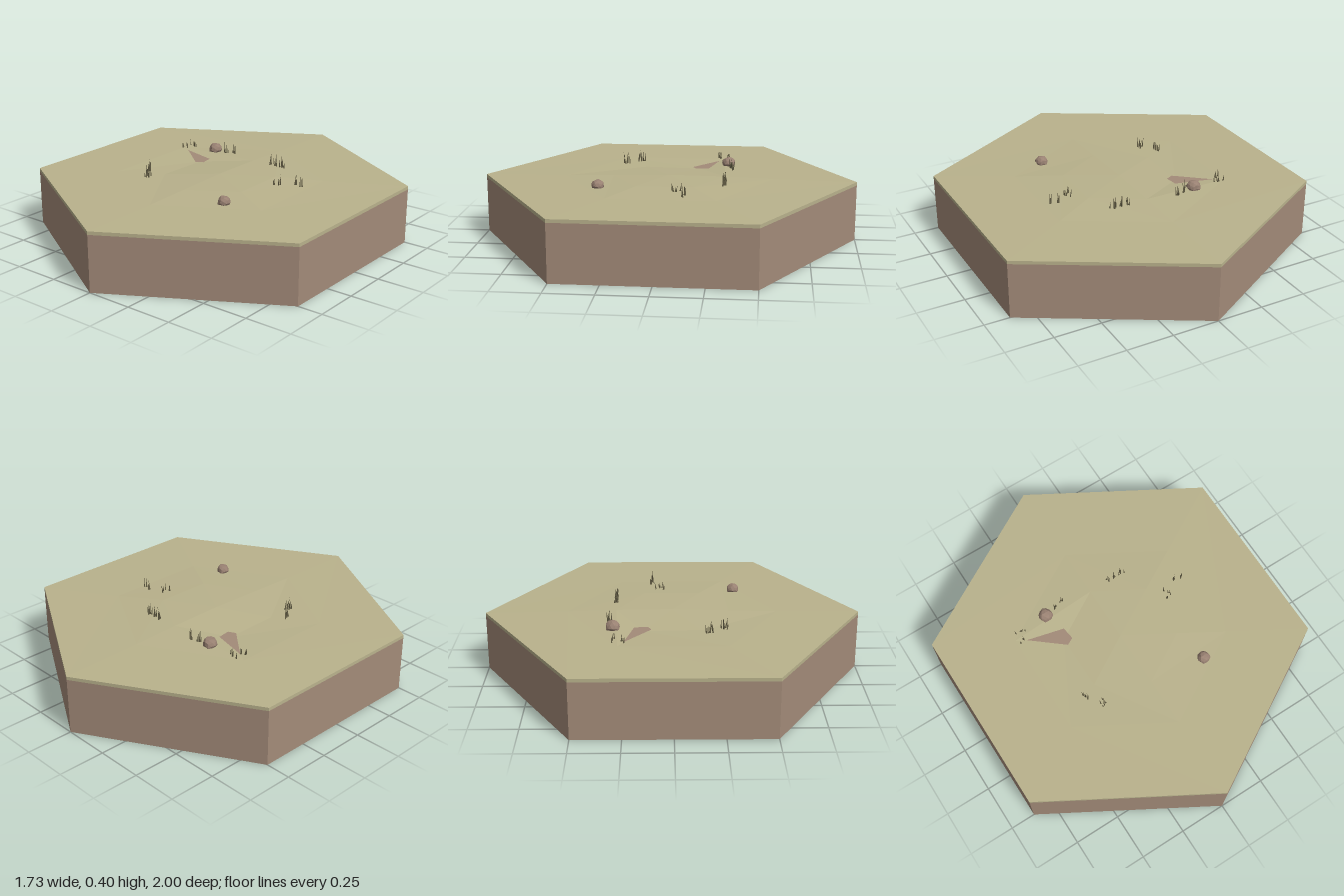
import * as THREE from 'three';

const mat = (name, color, extra = {}) =>
  Object.assign(new THREE.MeshStandardMaterial({ color, flatShading: true, ...extra }), { name });

// small seeded generator
function seeded(seed) {
  let s = seed;
  return () => ((s = (s * 16807) % 2147483647) / 2147483647);
}

// gently uneven hexagonal top: centre, two inner rings and the rim
function groundGeometry() {
  const heights = [
    [0.328, 0.333, 0.335, 0.333, 0.313, 0.318],
    [0.321, 0.322, 0.324, 0.325, 0.321, 0.32],
    Array(6).fill(0.318),
    Array(6).fill(0.3),
  ];
  const radii = [0.3, 0.56, 1, 1];
  const pos = [0, 0.336, 0];
  const index = [];
  radii.forEach((r, ring) => {
    for (let i = 0; i < 6; i++) {
      const a = (i * Math.PI) / 3;
      pos.push(r * Math.sin(a), heights[ring][i], r * Math.cos(a));
      const j = (i + 1) % 6, o = 1 + ring * 6, n = o - 6;
      if (ring === 0) index.push(0, o + i, o + j);
      else index.push(n + i, o + i, o + j, n + i, o + j, n + j);
    }
  });
  const g = new THREE.BufferGeometry();
  g.setAttribute('position', new THREE.Float32BufferAttribute(pos, 3));
  g.setIndex(index);
  g.computeVertexNormals();
  return g;
}

// faceted stone with a flat underside
function rockGeometry(radius, height, seed) {
  const g = new THREE.IcosahedronGeometry(1, 1);
  const p = g.attributes.position;
  for (let i = 0; i < p.count; i++) {
    const x = p.getX(i), y = p.getY(i), z = p.getZ(i);
    const k = 1 + 0.1 * Math.sin(5 * x + seed) * Math.cos(4 * z + 3 * y + seed);
    p.setXYZ(i, x * k * radius, Math.max(0, (y * k + 0.35) / 1.35) * height, z * k * radius);
  }
  g.computeVertexNormals();
  return g;
}

export function createModel() {
  const model = new THREE.Group();
  model.name = 'hexTile';
  const soil = mat('soil', 0xa38b79);
  const grass = mat('dryGrass', 0xb9b28c);
  const stone = mat('stone', 0x9a8273);
  const blade = mat('bladeOlive', 0x635d45);

  const add = (name, geo, material, parent = model) => {
    const m = new THREE.Mesh(geo, material);
    m.name = name;
    parent.add(m);
    return m;
  };

  // earth block and ground cover
  add('earthBlock', new THREE.CylinderGeometry(1, 1, 0.3, 6), soil).position.y = 0.15;
  add('groundCover', groundGeometry(), grass);

  // bare soil showing through the hollow
  const patch = new THREE.Shape(
    [[-0.43, -0.25], [-0.26, -0.11], [-0.22, -0.13], [-0.23, -0.2]].map(([x, z]) => new THREE.Vector2(x, -z)));
  add('barePatch', new THREE.ShapeGeometry(patch).rotateX(-Math.PI / 2), soil).position.y = 0.3215;

  // stones
  add('rockLarge', rockGeometry(0.037, 0.046, 1), stone).position.set(-0.275, 0.333, -0.31);
  add('rockSmall', rockGeometry(0.033, 0.042, 4), stone).position.set(0.3, 0.333, 0.34);

  // grass tufts: x, z, spread x, spread z, blade count
  const rand = seeded(77);
  const bladeGeo = new THREE.ConeGeometry(0.0045, 1, 3).translate(0, 0.5, 0);
  [
    [-0.435, -0.3, 0.025, 0.01, 4],
    [-0.45, -0.25, 0.02, 0.01, 4],
    [-0.215, -0.33, 0.015, 0.012, 4],
    [-0.165, -0.335, 0.015, 0.01, 3],
    [0.135, -0.305, 0.025, 0.012, 6],
    [0.175, -0.3, 0.04, 0.012, 7],
    [0.335, -0.07, 0.02, 0.025, 6],
    [0.415, -0.115, 0.015, 0.01, 3],
    [0.455, -0.105, 0.012, 0.006, 2],
    [-0.345, 0.19, 0.016, 0.02, 6],
    [-0.28, 0.255, 0.016, 0.025, 6],
  ].forEach(([x, z, sx, sz, count]) => {
    const tuft = new THREE.Group();
    tuft.name = 'grassTuft';
    tuft.position.set(x, 0.332, z);
    for (let i = 0; i < count; i++) {
      const b = add('grassBlade', bladeGeo, blade, tuft);
      b.position.set((rand() * 2 - 1) * sx, 0, (rand() * 2 - 1) * sz);
      b.scale.y = 0.03 + rand() * 0.04;
      b.rotation.set((rand() - 0.5) * 0.35, rand() * 6, (rand() - 0.5) * 0.35);
    }
    model.add(tuft);
  });
  return model;
}
